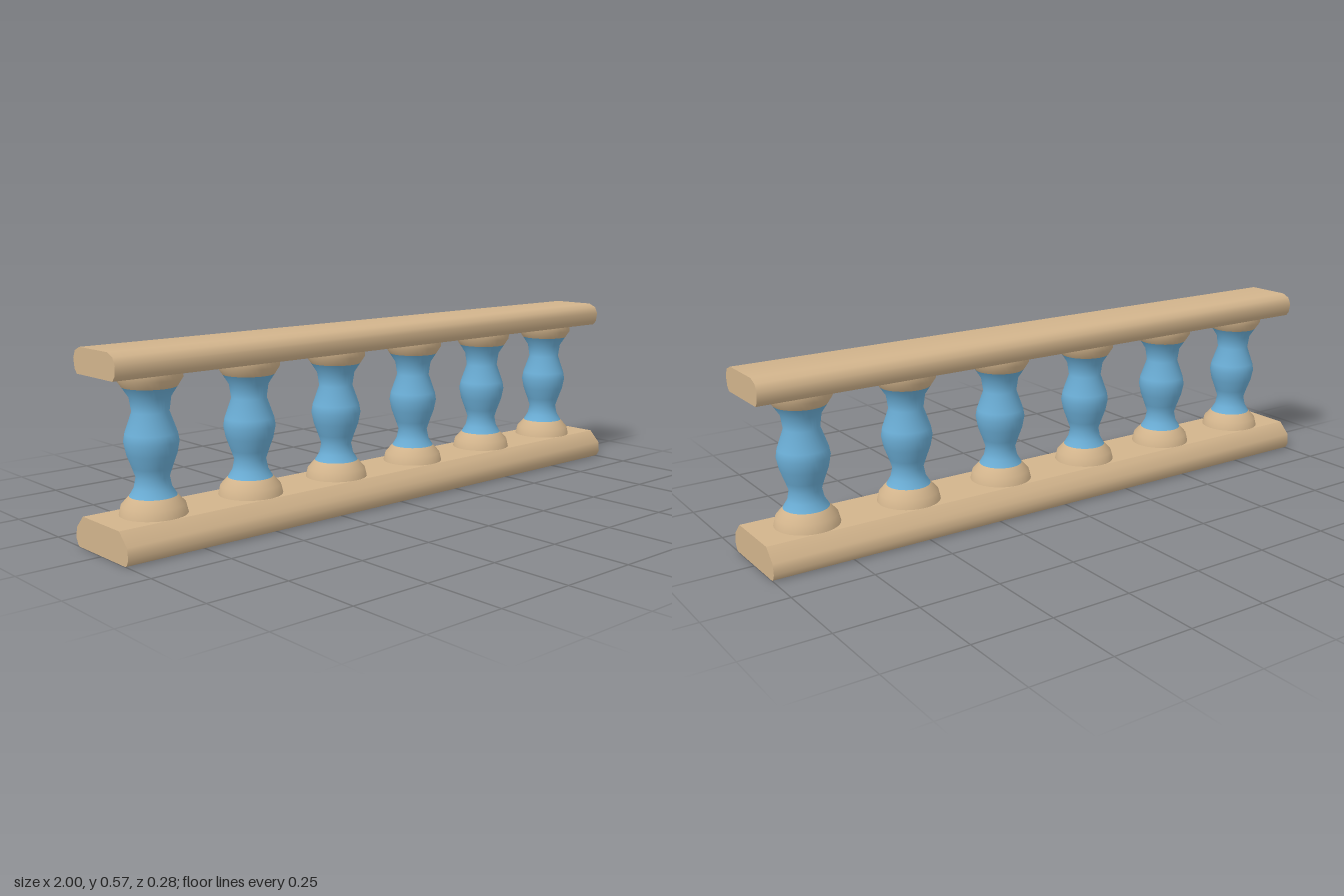
import * as THREE from 'three';
import { toCreasedNormals } from 'three/addons/utils/BufferGeometryUtils.js';

export function createModel() {
  const group = new THREE.Group();
  group.name = 'balustrade';

  const stone = new THREE.MeshStandardMaterial({ color: 0xd2b48c });
  stone.name = 'tan stone';
  const blue = new THREE.MeshStandardMaterial({ color: 0x6baed6 });
  blue.name = 'blue paint';

  // Rail: half profile of [z, y] points from bottom to top, mirrored and run along x
  function rail(name, half) {
    const mirrored = half.map(([z, y]) => [-z, y]).reverse();
    const shape = new THREE.Shape([...half, ...mirrored].map(([z, y]) => new THREE.Vector2(z, y)));
    let geometry = new THREE.ExtrudeGeometry(shape, { depth: 2, bevelEnabled: false });
    geometry.translate(0, 0, -1);
    geometry.rotateY(-Math.PI / 2);
    geometry = toCreasedNormals(geometry, 0.72);
    const mesh = new THREE.Mesh(geometry, stone);
    mesh.name = name;
    group.add(mesh);
  }
  rail('bottomRail', [[0.123, 0], [0.131, 0.005], [0.139, 0.022], [0.135, 0.054], [0.097, 0.092]]);
  rail('topRail', [[0.094, 0.491], [0.105, 0.504], [0.11, 0.533], [0.099, 0.555], [0.073, 0.566]]);

  // Turned baluster in three sections of [radius, y] points
  const turned = (points) =>
    new THREE.LatheGeometry(points.map(([r, y]) => new THREE.Vector2(r, y)), 32);
  const sections = [
    ['foot', stone, turned([[0.097, 0.09], [0.09, 0.119], [0.067, 0.144]])],
    ['shaft', blue, turned([
      [0.067, 0.144], [0.053, 0.167], [0.047, 0.197], [0.056, 0.224], [0.07, 0.262],
      [0.077, 0.297], [0.073, 0.321], [0.052, 0.381], [0.058, 0.422], [0.077, 0.451],
    ])],
    ['capital', stone, turned([[0.077, 0.451], [0.092, 0.474], [0.092, 0.493]])],
  ];

  // Six evenly spaced balusters
  for (let i = 0; i < 6; i++) {
    const baluster = new THREE.Group();
    baluster.name = `baluster${i + 1}`;
    baluster.position.x = (i - 2.5) / 3;
    for (const [name, material, geometry] of sections) {
      const mesh = new THREE.Mesh(geometry, material);
      mesh.name = name;
      baluster.add(mesh);
    }
    group.add(baluster);
  }
  return group;
}
